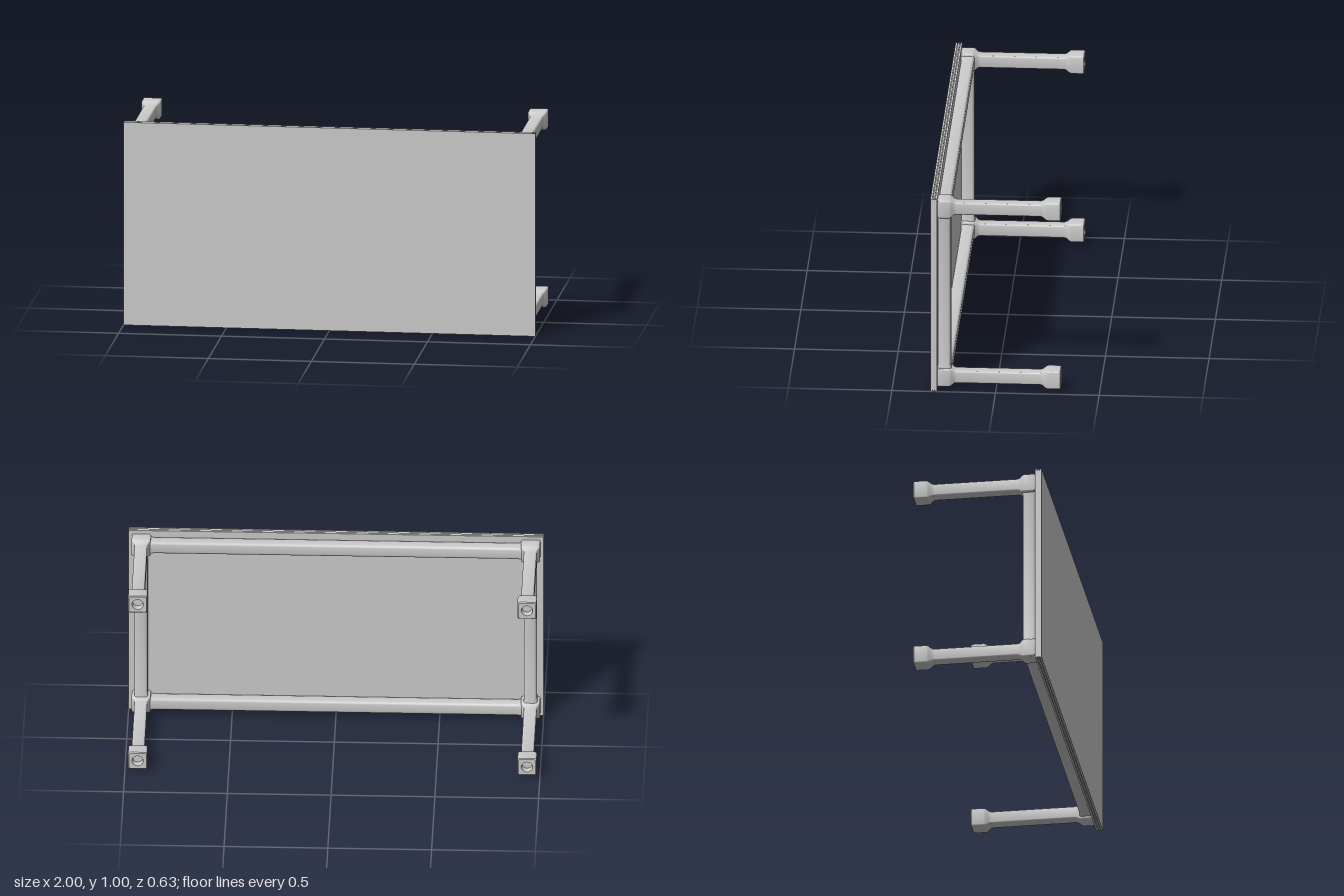
import * as THREE from 'three';
import { toCreasedNormals } from 'three/addons/utils/BufferGeometryUtils.js';

const material = new THREE.MeshStandardMaterial({ color: 0xcccccc });
const LEG_X = 0.938, LEG_Y = [0.064, 0.939], RAIL_Z = 0.249;

// Rounded square of half width h and corner radius r, 4 points per corner.
// With r equal to h it becomes a circle.
function ring(h, r) {
  const points = [];
  for (let corner = 0; corner < 4; corner++) {
    const mid = Math.PI / 4 + corner * Math.PI / 2;
    const cx = Math.sign(Math.cos(mid)) * (h - r), cy = Math.sign(Math.sin(mid)) * (h - r);
    for (let k = 0; k < 4; k++) {
      const a = corner * Math.PI / 2 + k * Math.PI / 6;
      points.push([cx + r * Math.cos(a), cy + r * Math.sin(a)]);
    }
  }
  return points;
}

// Skin a list of [z, halfWidth, cornerRadius] sections, closing both ends.
function loft(sections) {
  const n = 16, positions = [], index = [];
  for (const [z, h, r] of sections) {
    for (const [x, y] of ring(h, r)) positions.push(x, y, z);
  }
  for (let s = 0; s < sections.length - 1; s++) {
    for (let i = 0; i < n; i++) {
      const a = s * n + i, b = s * n + (i + 1) % n;
      index.push(a, b, b + n, a, b + n, a + n);
    }
  }
  const last = (sections.length - 1) * n;
  for (let i = 1; i < n - 1; i++) {
    index.push(0, i + 1, i, last, last + i, last + i + 1);
  }
  const geometry = new THREE.BufferGeometry();
  geometry.setAttribute('position', new THREE.Float32BufferAttribute(positions, 3));
  geometry.setIndex(index);
  return toCreasedNormals(geometry, 0.6);
}

function add(parent, name, geometry, x, y, z) {
  const mesh = new THREE.Mesh(geometry, material);
  mesh.name = name;
  mesh.position.set(x, y, z);
  parent.add(mesh);
  return mesh;
}

export function createModel() {
  const table = new THREE.Group();
  table.name = 'table';

  // Table top: three thin boards with fine grooves between them
  const top = new THREE.Group();
  top.name = 'tableTop';
  table.add(top);
  add(top, 'topCore', new THREE.BoxGeometry(1.988, 0.988, 0.028), 0, 0.5, 0.298);
  for (const [z, depth] of [[0.2865, 0.009], [0.298, 0.008], [0.3095, 0.009]]) {
    add(top, 'topBoard', new THREE.BoxGeometry(2, 1, depth), 0, 0.5, z);
  }

  // Legs: hollow square foot, slim shaft, flared corner block
  const legGeometry = loft([
    [-0.285, 0.024, 0.024], // bottom of the round socket
    [-0.314, 0.028, 0.028],
    [-0.314, 0.042, 0.008],
    [-0.310, 0.046, 0.008],
    [-0.250, 0.046, 0.008],
    [-0.242, 0.044, 0.008],
    [-0.226, 0.034, 0.008],
    [-0.214, 0.031, 0.008],
    [0.190, 0.031, 0.008],
    [0.202, 0.033, 0.008],
    [0.216, 0.043, 0.008],
    [0.224, 0.046, 0.008],
    [0.276, 0.046, 0.008],
    [0.283, 0.042, 0.008],
  ]);
  for (const x of [-LEG_X, LEG_X]) {
    for (const y of LEG_Y) add(table, 'leg', legGeometry, x, y, 0);
  }

  // Rails between the legs, widening slightly where they meet the blocks
  const rail = (half) => loft([
    [-half, 0.034, 0.012],
    [-half + 0.05, 0.033, 0.012],
    [-half + 0.062, 0.031, 0.012],
    [half - 0.062, 0.031, 0.012],
    [half - 0.05, 0.033, 0.012],
    [half, 0.034, 0.012],
  ]);
  const longRail = rail(LEG_X).rotateY(Math.PI / 2);
  for (const y of LEG_Y) add(table, 'longRail', longRail, 0, y, RAIL_Z);
  const shortRail = rail((LEG_Y[1] - LEG_Y[0]) / 2).rotateX(Math.PI / 2);
  for (const x of [-LEG_X, LEG_X]) {
    add(table, 'shortRail', shortRail, x, (LEG_Y[0] + LEG_Y[1]) / 2, RAIL_Z);
  }

  return table;
}
